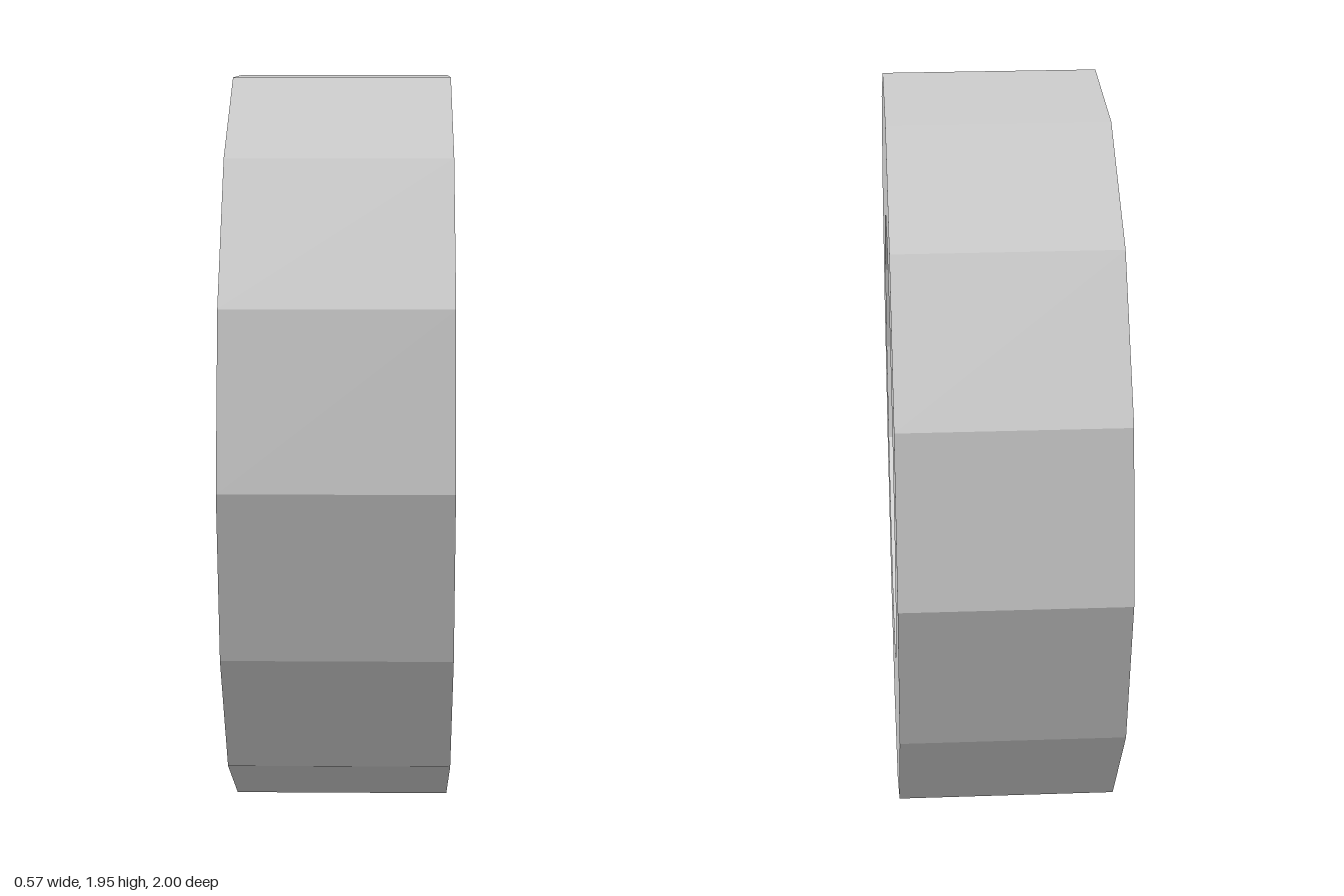
import * as THREE from 'three';

const SIDES = 14;
const HALF = 0.287; // half the wheel's width
const CENTRE_Y = Math.sin((Math.PI * 3) / 7); // the wheel rests on a flat facet

// Faceted ring turned around the x axis; profile points are [radius, x]
function turned(name, profile, material) {
  const points = profile.map(([r, x]) => new THREE.Vector2(r, x));
  const geometry = new THREE.LatheGeometry(points, SIDES).toNonIndexed();
  geometry.rotateZ(-Math.PI / 2);
  geometry.computeVertexNormals(); // one normal per facet
  const mesh = new THREE.Mesh(geometry, material);
  mesh.name = name;
  return mesh;
}

export function createModel() {
  const grey = new THREE.MeshStandardMaterial({ color: 0xcccccc });
  grey.name = 'lightGrey';

  const wheel = new THREE.Group();
  wheel.name = 'wheel';
  wheel.position.y = CENTRE_Y;

  // Flat back, tread and front sidewall
  wheel.add(turned('tyre', [[0, -HALF], [1, -HALF], [1, HALF], [0.627, HALF]], grey));
  // Tapered wall of the recess
  wheel.add(turned('rimWall', [[0.627, HALF], [0.567, 0.104]], grey));
  // Raised hub with a flat cap
  wheel.add(turned('hub', [[0.567, 0.104], [0.367, 0.247], [0, 0.247]], grey));

  const model = new THREE.Group();
  model.name = 'wheelModel';
  model.add(wheel);
  return model;
}
